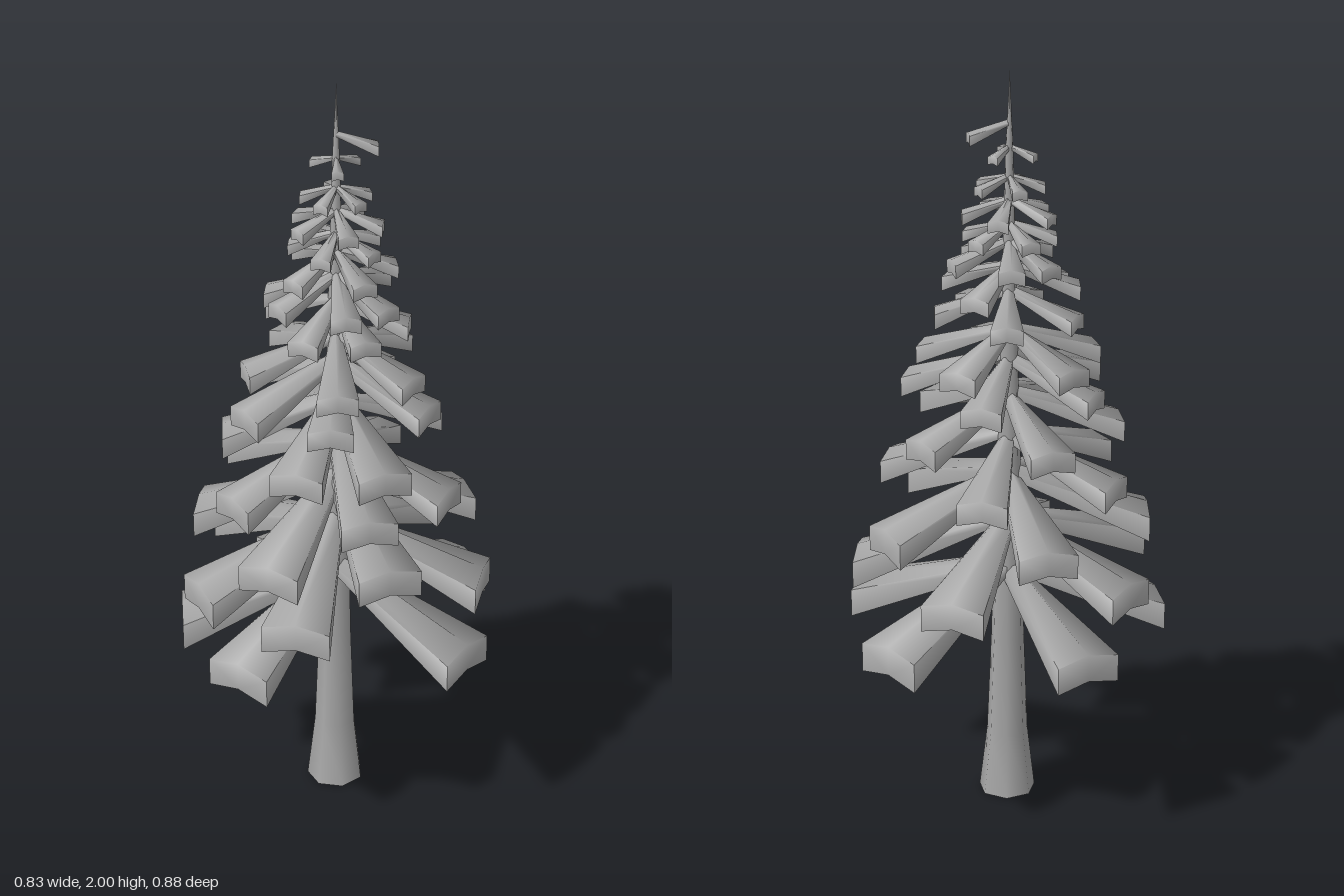
import * as THREE from 'three';
import { toCreasedNormals } from 'three/addons/utils/BufferGeometryUtils.js';

// The trunk axis leans slightly on its way up
const axisAt = (y) => ({ x: -0.007 - 0.014 * y, z: 0.02 - 0.0225 * y });

// Tiers with individually placed branches: underside height at the tip, tip centres [x, z]
const LOWER = [
  [0.47, [[-0.01, 0.435], [-0.325, 0.28], [0.413, 0.005], [0.12, -0.41], [-0.355, -0.215]]],
  [0.62, [[-0.4, -0.055], [-0.19, 0.37], [0.14, 0.385], [0.36, -0.14], [-0.05, -0.38]]],
  [0.76, [[-0.34, 0.18], [0.05, 0.38], [0.31, 0.21], [0.18, -0.31], [-0.26, -0.255]]],
  [0.89, [[-0.33, 0], [-0.115, 0.315], [0.245, 0.21], [0.305, -0.055], [-0.09, -0.29]]],
  [1.015, [[-0.25, 0.185], [0.08, 0.3], [0.26, 0.165], [0.1, -0.26], [-0.235, -0.18]]],
  [1.13, [[-0.27, 0], [-0.11, 0.265], [0.125, 0.215], [0.25, -0.04], [-0.065, -0.245]]],
];

// Smaller tiers: tip height, reach, angles in degrees from +x towards +z
const UPPER = [
  [1.215, 0.24, [200, 276, 358, 52, 128]],
  [1.34, 0.19, [177, 79, 331, 30, 245]],
  [1.41, 0.18, [6, 150, 272, 108, 45]],
  [1.485, 0.155, [25, 97, 200, 241, 313]],
  [1.55, 0.12, [0, 72, 150, 216, 288]],
  [1.61, 0.12, [38, 107, 180, 257, 330]],
  [1.685, 0.09, [10, 79, 150, 226, 303]],
  [1.77, 0.07, [50, 175, 280]],
  [1.815, 0.105, [-38]],
];

// Wedge-shaped bough: narrow at the trunk, wide blunt end, pointing along +x
function boughGeometry(reach) {
  const section = (x, y, w, h, shoulder) => [
    [-w, 0], [-w, shoulder * h], [0, h], [w, shoulder * h], [w, 0], [0, 0.2 * h],
  ].map(([z, dy]) => [x, y + dy, z]);
  const h = 0.012 + 0.195 * reach;
  const root = section(0, 0.44 * reach, 0.055 * reach, 0.45 * h, 0.5);
  const tip = section(reach, 0, 0.22 * reach, h, 0.8);
  const pos = [];
  for (let i = 0; i < 6; i++) {
    const j = (i + 1) % 6;
    pos.push(...root[i], ...root[j], ...tip[j], ...root[i], ...tip[j], ...tip[i]);
    if (i < 4) pos.push(...tip[5], ...tip[i], ...tip[j]);
  }
  const geo = new THREE.BufferGeometry();
  geo.setAttribute('position', new THREE.Float32BufferAttribute(pos, 3));
  return toCreasedNormals(geo, 1.5);
}

export function createModel() {
  const model = new THREE.Group();
  model.name = 'coniferTree';
  const grey = new THREE.MeshStandardMaterial({ color: 0xa6a6a6, side: THREE.DoubleSide });
  grey.name = 'plainGrey';

  // Trunk: seven-sided, flared foot, needle-thin leader
  const profile = [[0, 0], [0.077, 0], [0.056, 0.18], [0.045, 0.46], [0.032, 1], [0.018, 1.5], [0.01, 1.8], [0, 2]]
    .map(([r, y]) => new THREE.Vector2(r, y));
  const trunkGeo = new THREE.LatheGeometry(profile, 7);
  const p = trunkGeo.attributes.position;
  for (let i = 0; i < p.count; i++) {
    const a = axisAt(p.getY(i));
    p.setX(i, p.getX(i) + a.x);
    p.setZ(i, p.getZ(i) + a.z);
  }
  const trunk = new THREE.Mesh(toCreasedNormals(trunkGeo, 1), grey);
  trunk.name = 'trunk';
  model.add(trunk);

  // Branch tiers
  const addTier = (y, boughs) => {
    const tier = new THREE.Group();
    tier.name = 'branchTier';
    const { x, z } = axisAt(y);
    tier.position.set(x, y, z);
    for (const [angle, reach] of boughs) {
      const bough = new THREE.Mesh(boughGeometry(reach), grey);
      bough.name = 'bough';
      bough.rotation.y = -angle;
      tier.add(bough);
    }
    model.add(tier);
  };
  for (const [y, tips] of LOWER) {
    const a = axisAt(y);
    addTier(y, tips.map(([x, z]) => [Math.atan2(z - a.z, x - a.x), Math.hypot(x - a.x, z - a.z)]));
  }
  for (const [y, reach, angles] of UPPER) {
    addTier(y, angles.map((d) => [THREE.MathUtils.degToRad(d), reach]));
  }
  return model;
}
